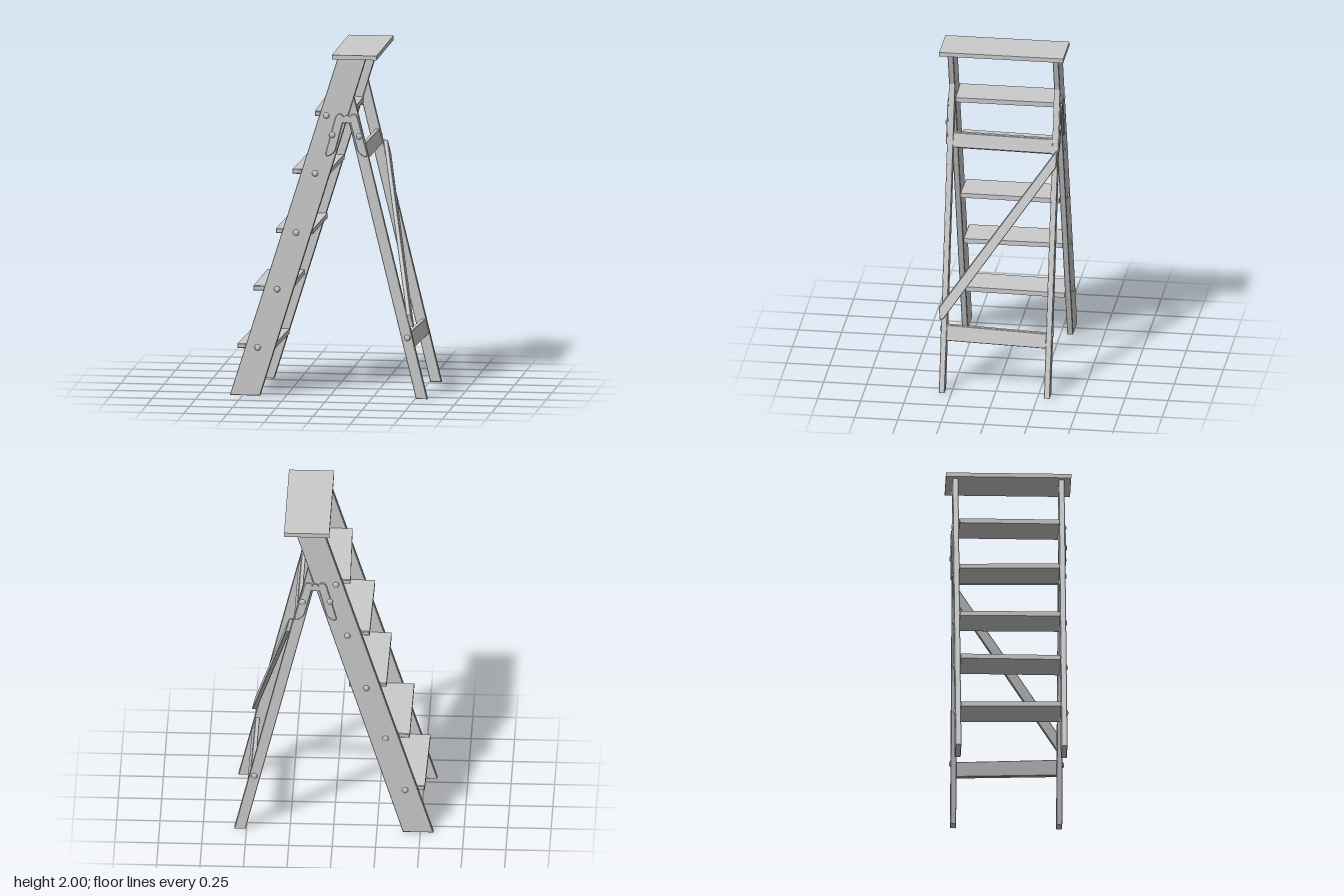
import * as THREE from 'three';

const LEAN = 0.243; // backward lean of the rear frame
const material = new THREE.MeshStandardMaterial({ color: 0xcccccc });

function addMesh(parent, name, geometry) {
  const mesh = new THREE.Mesh(geometry, material);
  mesh.name = name;
  parent.add(mesh);
  return mesh;
}

// Flat board cut from an outline, with slightly eased edges
function board(points, depth, bevel = 0.003) {
  const shape = new THREE.Shape(points.map(([x, y]) => new THREE.Vector2(x, y)));
  const geometry = new THREE.ExtrudeGeometry(shape, {
    depth: depth - 2 * bevel, bevelThickness: bevel, bevelSize: bevel, bevelOffset: -bevel, bevelSegments: 1,
  });
  return geometry.translate(0, 0, bevel);
}

// Board lying in the leaning rear plane; outline in (-z, y), offset from the legs' outer face
function rearBoard(points, depth, offset) {
  const geometry = board(points, depth).rotateY(Math.PI / 2).translate(offset + 0.57, 0, 0);
  return geometry.applyMatrix4(new THREE.Matrix4().set(
    1, -LEAN, 0, 0,
    0, 1, 0, 0,
    0, 0, 1, 0,
    0, 0, 0, 1,
  ));
}

// Hinge strap outline, to the right of the pivot
function strapShape() {
  const s = new THREE.Shape();
  s.moveTo(-0.012, 1.612);
  s.lineTo(0.03, 1.652);
  s.quadraticCurveTo(0.056, 1.66, 0.066, 1.63);
  s.lineTo(0.121, 1.425);
  s.quadraticCurveTo(0.124, 1.402, 0.105, 1.405);
  s.quadraticCurveTo(0.07, 1.42, 0.062, 1.445);
  s.lineTo(0.022, 1.6);
  s.quadraticCurveTo(0.008, 1.59, -0.012, 1.612);
  return s;
}

export function createModel() {
  const model = new THREE.Group();
  model.name = 'stepLadder';

  // Top platform
  addMesh(model, 'platform', new THREE.BoxGeometry(0.26, 0.025, 0.72)).position.set(0.152, 1.9875, 0);

  // Treads: front edge x, height, yaw, roll
  const treads = [
    [-0.53, 0.28, 0.017, -0.006],
    [-0.44, 0.622, 0.005, 0.006],
    [-0.308, 0.957, 0.012, 0],
    [-0.212, 1.303, 0.015, -0.008],
    [-0.092, 1.643, -0.02, -0.008],
  ];
  for (const [x, y, yaw, roll] of treads) {
    const tread = addMesh(model, 'tread', board([
      [0, -0.014], [0.215, -0.014], [0.215, 0.014], [0, 0.014],
    ], 0.58, 0.004).translate(-0.1075, 0, -0.29));
    tread.position.set(x + 0.1075, y, 0);
    tread.rotation.set(roll, -yaw, 0);
  }

  // Both side frames
  for (const side of [1, -1]) {
    const frame = new THREE.Group();
    frame.name = side > 0 ? 'leftSide' : 'rightSide';
    model.add(frame);

    const inner = side > 0 ? 0.288 : -0.322;
    addMesh(frame, 'stile', board([
      [-0.575, 0], [-0.4, 0], [0.215, 1.976], [0.05, 1.976],
    ], 0.034).translate(0, 0, inner));
    addMesh(frame, 'rearLeg', board([
      [0.505, 0], [0.57, 0], [0.145, 1.75], [0.108, 1.632],
    ], 0.034).translate(0, 0, inner));

    // Two-armed hinge and its pivot
    for (const mirror of [1, -1]) {
      const points = strapShape().getPoints(6).map((p) => [p.x * mirror, p.y]);
      addMesh(frame, 'hingeStrap', board(points, 0.01, 0.004)
        .translate(0.103, 0, side > 0 ? 0.319 : -0.329));
    }
    const pivot = addMesh(frame, 'hingePivot', new THREE.CylinderGeometry(0.018, 0.018, 0.014, 16));
    pivot.rotation.x = Math.PI / 2;
    pivot.position.set(0.104, 1.628, side * 0.325);

    // Domed bolt heads: x, y, height above the wood
    const bolts = [
      [-0.413, 0.28, 0], [-0.3, 0.622, 0], [-0.19, 0.955, 0], [-0.08, 1.302, 0], [-0.015, 1.64, 0],
      [0.455, 0.355, 0], [0.02, 1.53, 0.006], [0.177, 1.525, 0.006],
    ];
    for (const [x, y, lift] of bolts) {
      const bolt = addMesh(frame, 'bolt', new THREE.SphereGeometry(0.018, 12, 8));
      bolt.scale.z = 0.5;
      bolt.position.set(x, y, side * (0.322 + lift));
    }
  }

  // Rear cross rails
  addMesh(model, 'lowerRail', rearBoard([
    [-0.29, 0.295], [0.29, 0.28], [0.29, 0.365], [-0.29, 0.385],
  ], 0.025, -0.03));
  addMesh(model, 'upperRail', rearBoard([
    [-0.29, 1.39], [0.29, 1.383], [0.29, 1.466], [-0.29, 1.475],
  ], 0.025, -0.03));

  // Diagonal brace across the outer faces of the rear legs
  addMesh(model, 'brace', rearBoard([
    [-0.327, 0.42], [-0.305, 0.43], [0.318, 1.32], [0.318, 1.4], [0.308, 1.4], [-0.335, 0.49],
  ], 0.026, 0));

  return model;
}
